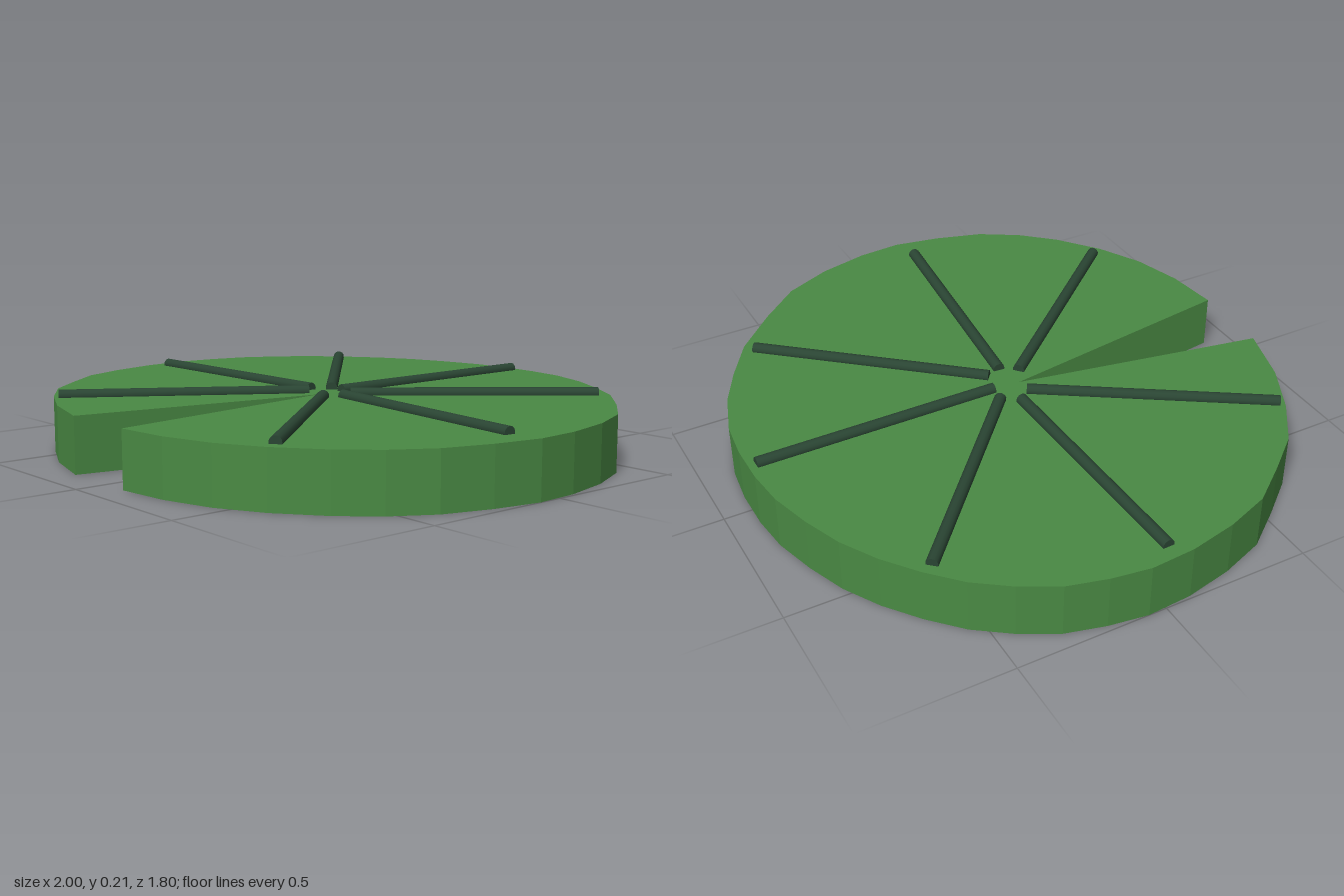
import * as THREE from 'three';

const THICKNESS = 0.185;
const RIB_RADIUS = 0.02;

// Outline of the notched leaf as [x, z], starting at the notch tip
const OUTLINE = [
  [-0.02, 0.05], [0.1, 0.9], [0.28, 0.88], [0.45, 0.83], [0.6, 0.75], [0.74, 0.64], [0.84, 0.53],
  [0.92, 0.4], [0.97, 0.24], [1, 0.08], [0.99, -0.07], [0.95, -0.24], [0.88, -0.4], [0.76, -0.54],
  [0.62, -0.68], [0.48, -0.77], [0.35, -0.84], [0.2, -0.89], [0.07, -0.905], [-0.07, -0.905],
  [-0.2, -0.89], [-0.34, -0.85], [-0.47, -0.8], [-0.59, -0.73], [-0.7, -0.645], [-0.8, -0.55],
  [-0.88, -0.44], [-0.945, -0.32], [-0.98, -0.19], [-1, -0.06], [-0.99, 0.09], [-0.955, 0.25],
  [-0.9, 0.4], [-0.8, 0.53], [-0.7, 0.65], [-0.555, 0.75], [-0.385, 0.835], [-0.18, 0.895],
];

// Raised veins as [inner x, inner z, outer x, outer z]
const VEINS = [
  [-0.018, -0.045, -0.015, -0.88],
  [0.053, -0.024, 0.588, -0.655],
  [0.073, 0.025, 0.9, 0.107],
  [0.037, 0.08, 0.583, 0.708],
  [-0.075, 0.05, -0.53, 0.745],
  [-0.113, 0.008, -0.946, 0.03],
  [-0.075, -0.05, -0.69, -0.607],
];

export function createModel() {
  const model = new THREE.Group();
  model.name = 'lilyPad';

  // Thick flat leaf with faceted rim
  const shape = new THREE.Shape(OUTLINE.map(([x, z]) => new THREE.Vector2(x, -z)));
  const leafGeometry = new THREE.ExtrudeGeometry(shape, { depth: THICKNESS, bevelEnabled: false });
  leafGeometry.rotateX(-Math.PI / 2);
  const leaf = new THREE.Mesh(
    leafGeometry,
    new THREE.MeshStandardMaterial({ color: 0x4a8a44, flatShading: true }),
  );
  leaf.name = 'leaf';
  model.add(leaf);

  // Rods half sunk into the top, radiating from the notch tip
  const veinMaterial = new THREE.MeshStandardMaterial({ color: 0x2a4533 });
  const veins = new THREE.Group();
  veins.name = 'veins';
  const up = new THREE.Vector3(0, 1, 0);
  for (const [x1, z1, x2, z2] of VEINS) {
    const y = THICKNESS + 0.005;
    const start = new THREE.Vector3(x1, y, z1);
    const end = new THREE.Vector3(x2, y, z2);
    const vein = new THREE.Mesh(
      new THREE.CylinderGeometry(RIB_RADIUS, RIB_RADIUS, start.distanceTo(end), 12),
      veinMaterial,
    );
    vein.name = 'vein';
    vein.position.copy(start).lerp(end, 0.5);
    vein.quaternion.setFromUnitVectors(up, end.sub(start).normalize());
    veins.add(vein);
  }
  model.add(veins);

  return model;
}
